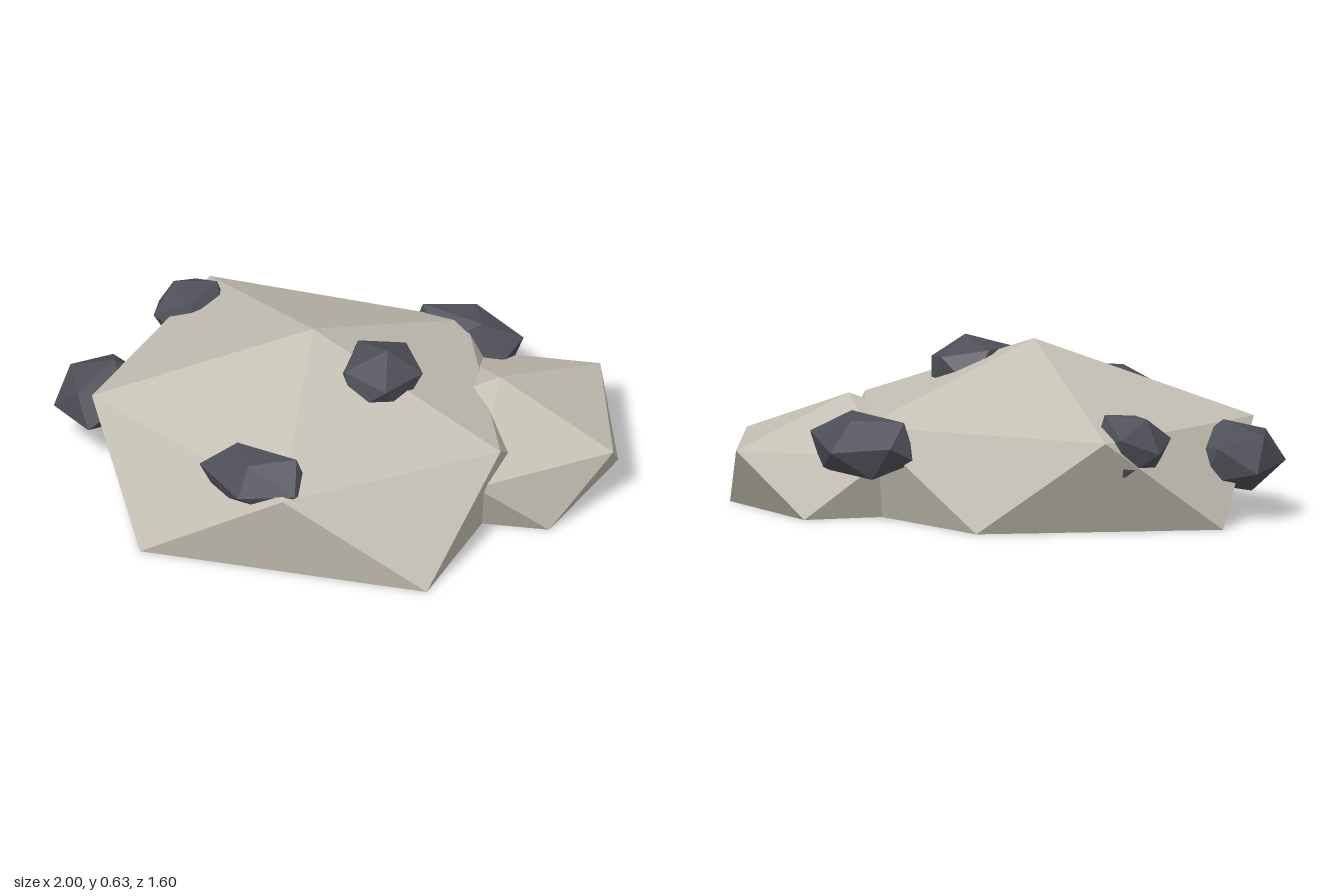
import * as THREE from 'three';
import { ConvexGeometry } from 'three/addons/geometries/ConvexGeometry.js';

const stone = new THREE.MeshStandardMaterial({ color: 0xc4bfb3 });
stone.name = 'paleStone';
const dark = new THREE.MeshStandardMaterial({ color: 0x4f4f59 });
dark.name = 'darkStone';

function addHull(group, name, points, material) {
  const mesh = new THREE.Mesh(new ConvexGeometry(points), material);
  mesh.name = name;
  group.add(mesh);
  return mesh;
}

// Dome: an apex, a ring of shoulders and a ring of feet on the ground
function boulder(group, name, apex, shoulderY, shoulders, feet) {
  const points = [
    new THREE.Vector3(...apex),
    ...shoulders.map(([x, z]) => new THREE.Vector3(x, shoulderY, z)),
    ...feet.map(([x, z]) => new THREE.Vector3(x, 0, z)),
  ];
  return addHull(group, name, points, stone);
}

// Chunk: a twenty-sided stone, uneven and tilted, fitted to its half sizes
function chunk(group, name, center, half, tilt, spin, seed) {
  let s = seed;
  const rand = () => (s = (s * 16807) % 2147483647) / 2147483647;
  const turn = new THREE.Euler(tilt[0], spin, tilt[1], 'ZXY');
  const points = [new THREE.Vector3(0, 1, 0), new THREE.Vector3(0, -1, 0)];
  for (let i = 0; i < 10; i++) {
    const a = (i * Math.PI) / 5;
    const y = i % 2 ? -0.447 : 0.447;
    points.push(new THREE.Vector3(0.894 * Math.cos(a), y, 0.894 * Math.sin(a)));
  }
  points.forEach((p) => p.multiplyScalar(0.92 + 0.16 * rand()).applyEuler(turn));
  const box = new THREE.Box3().setFromPoints(points);
  const mid = box.getCenter(new THREE.Vector3());
  const fit = new THREE.Vector3(...half).multiplyScalar(2).divide(box.getSize(new THREE.Vector3()));
  points.forEach((p) => p.sub(mid).multiply(fit));
  addHull(group, name, points, dark).position.set(...center);
}

export function createModel() {
  const group = new THREE.Group();
  group.name = 'rockPile';

  boulder(group, 'largeBoulder', [-0.08, 0.63, 0.02], 0.355,
    [[0.72, 0.02], [0.18, 0.7], [-0.77, 0.46], [-0.77, -0.42], [0.19, -0.65]],
    [[0.68, 0.5], [-0.37, 0.8], [-0.975, 0.02], [-0.33, -0.635], [0.6, -0.45]]);

  boulder(group, 'smallBoulder', [0.52, 0.41, -0.325], 0.235,
    [[1, -0.33], [0.67, 0.12], [0.13, -0.04], [0.13, -0.6], [0.675, -0.8]],
    [[0.875, -0.07], [0.37, 0.12], [0.04, -0.32], [0.38, -0.765], [0.875, -0.585]]);

  // Dark chunks set into the slopes
  chunk(group, 'topChunk', [0.19, 0.49, -0.005], [0.155, 0.13, 0.165], [0, -0.2], 0.3, 11);
  chunk(group, 'frontChunk', [0.01, 0.34, 0.605], [0.205, 0.11, 0.125], [0.6, 0], 0.9, 29);
  chunk(group, 'rightFrontChunk', [-0.84, 0.235, 0.28], [0.16, 0.135, 0.18], [0, 0.9], 0.2, 47);
  chunk(group, 'rightBackChunk', [-0.74, 0.32, -0.24], [0.15, 0.12, 0.13], [0, 0.6], 0.5, 83);
  chunk(group, 'backChunk', [0.19, 0.285, -0.66], [0.22, 0.115, 0.12], [-0.6, 0], 0.1, 101);

  return group;
}
